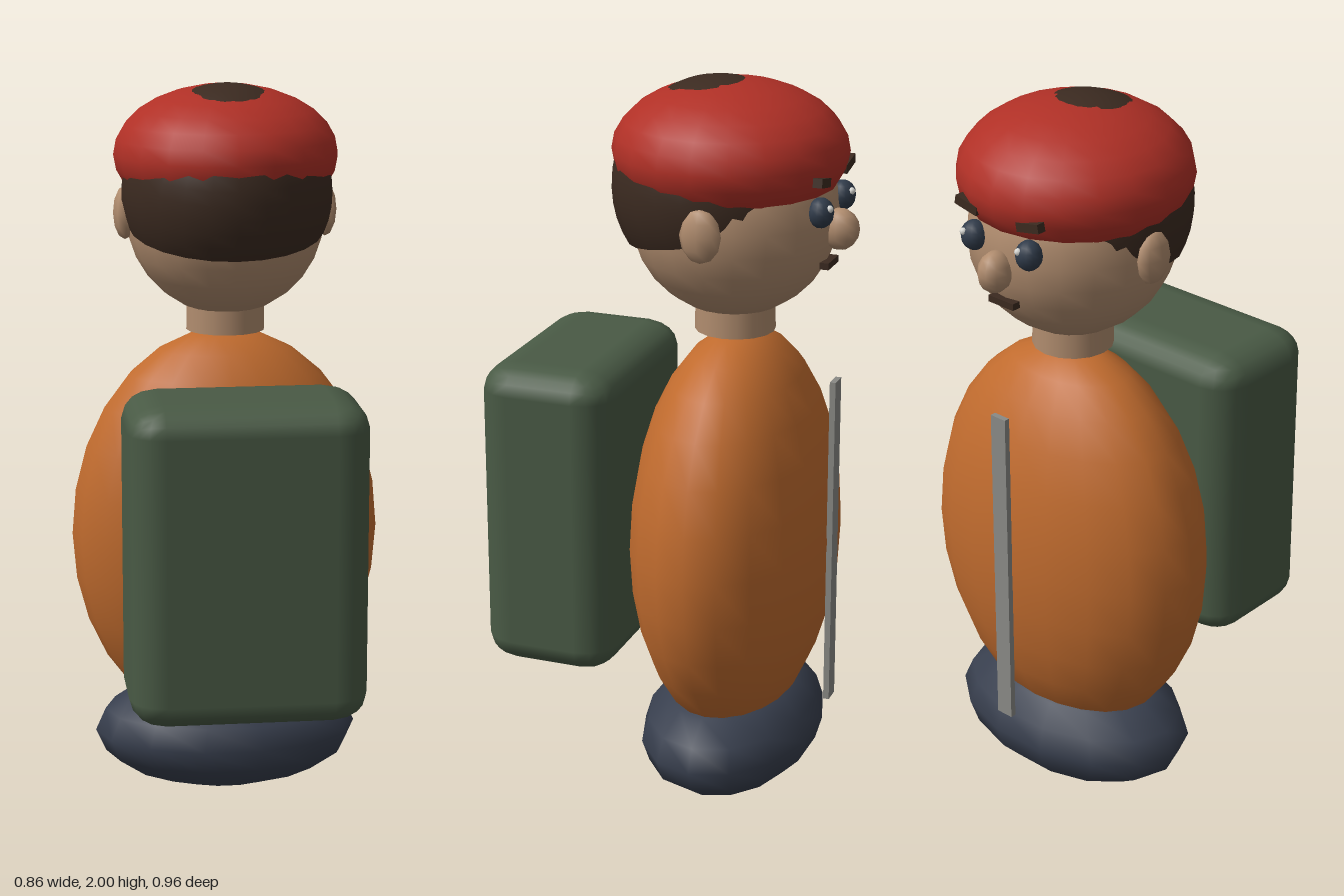
import * as THREE from 'three';
import { RoundedBoxGeometry } from 'three/addons/geometries/RoundedBoxGeometry.js';

const mat = (name, color) => {
  const m = new THREE.MeshStandardMaterial({ color });
  m.name = name;
  return m;
};

export function createModel() {
  const group = new THREE.Group();
  const skin = mat('skin', 0xb08c6e);
  const hairBrown = mat('hairBrown', 0x3b2a20);
  const red = mat('hatRed', 0xb03026);
  const orange = mat('jacketOrange', 0xc06b2e);
  const green = mat('packGreen', 0x495a45);
  const navy = mat('trouserNavy', 0x383f4e);
  const eyeBlue = mat('eyeBlue', 0x303b4a);
  const glint = mat('eyeGlint', 0xd8d8d4);
  const grey = mat('zipGrey', 0x8a8a86);

  const add = (name, geometry, material, [x, y, z]) => {
    const mesh = new THREE.Mesh(geometry, material);
    mesh.name = name;
    mesh.position.set(x, y, z);
    group.add(mesh);
    return mesh;
  };
  // Ellipsoid from a centre and three radii
  const ball = (name, material, centre, radii, w = 20, h = 14) => {
    const mesh = add(name, new THREE.SphereGeometry(1, w, h), material, centre);
    mesh.scale.set(...radii);
    return mesh;
  };

  // Body
  ball('trousers', navy, [0, 0.17, -0.15], [0.37, 0.165, 0.24], 14, 8);
  ball('jacket', orange, [0, 0.75, -0.155], [0.428, 0.575, 0.268]);
  add('zip', new THREE.BoxGeometry(0.05, 0.925, 0.016), grey, [0, 0.748, -0.427]);

  // Backpack, with slightly flatter rounding along its height
  const pack = add('backpack', new RoundedBoxGeometry(0.63, 0.86 * 1.3, 0.375, 2, 0.095), green, [0, 0.805, 0.297]);
  pack.scale.y = 1 / 1.3;

  // Head, neck and nose
  add('neck', new THREE.CylinderGeometry(0.105, 0.108, 0.12, 16), skin, [0, 1.385, -0.145]);
  ball('head', skin, [0, 1.65, -0.14], [0.272, 0.28, 0.28]);
  ball('nose', skin, [0, 1.625, -0.43], [0.042, 0.056, 0.053], 10, 8);

  // Hair is a cap tilted down at the back; it peeps through the crown of the hat
  const hair = add('hair', new THREE.SphereGeometry(0.286, 24, 14, 0, Math.PI * 2, 0, 1.94), hairBrown, [0, 1.715, -0.1]);
  hair.material.side = THREE.DoubleSide;
  hair.rotation.x = 0.217;
  ball('hat', red, [0, 1.81, -0.129], [0.305, 0.186, 0.312], 20, 14);

  // Paired features
  for (const s of [-1, 1]) {
    ball('ear', skin, [s * 0.274, 1.65, -0.145], [0.032, 0.073, 0.057], 8, 6);
    ball('eye', eyeBlue, [s * 0.094, 1.69, -0.407], [0.036, 0.04, 0.035], 12, 8);
    ball('eyeGlint', glint, [s * 0.094 + 0.011, 1.705, -0.434], [0.01, 0.01, 0.01], 8, 6);
    const brow = add('eyebrow', new THREE.BoxGeometry(0.075, 0.024, 0.025), hairBrown, [s * 0.105, 1.772, -0.412]);
    brow.rotation.z = s * 0.2;
  }
  add('mouth', new THREE.BoxGeometry(0.085, 0.018, 0.025), hairBrown, [0, 1.532, -0.402]);

  return group;
}
